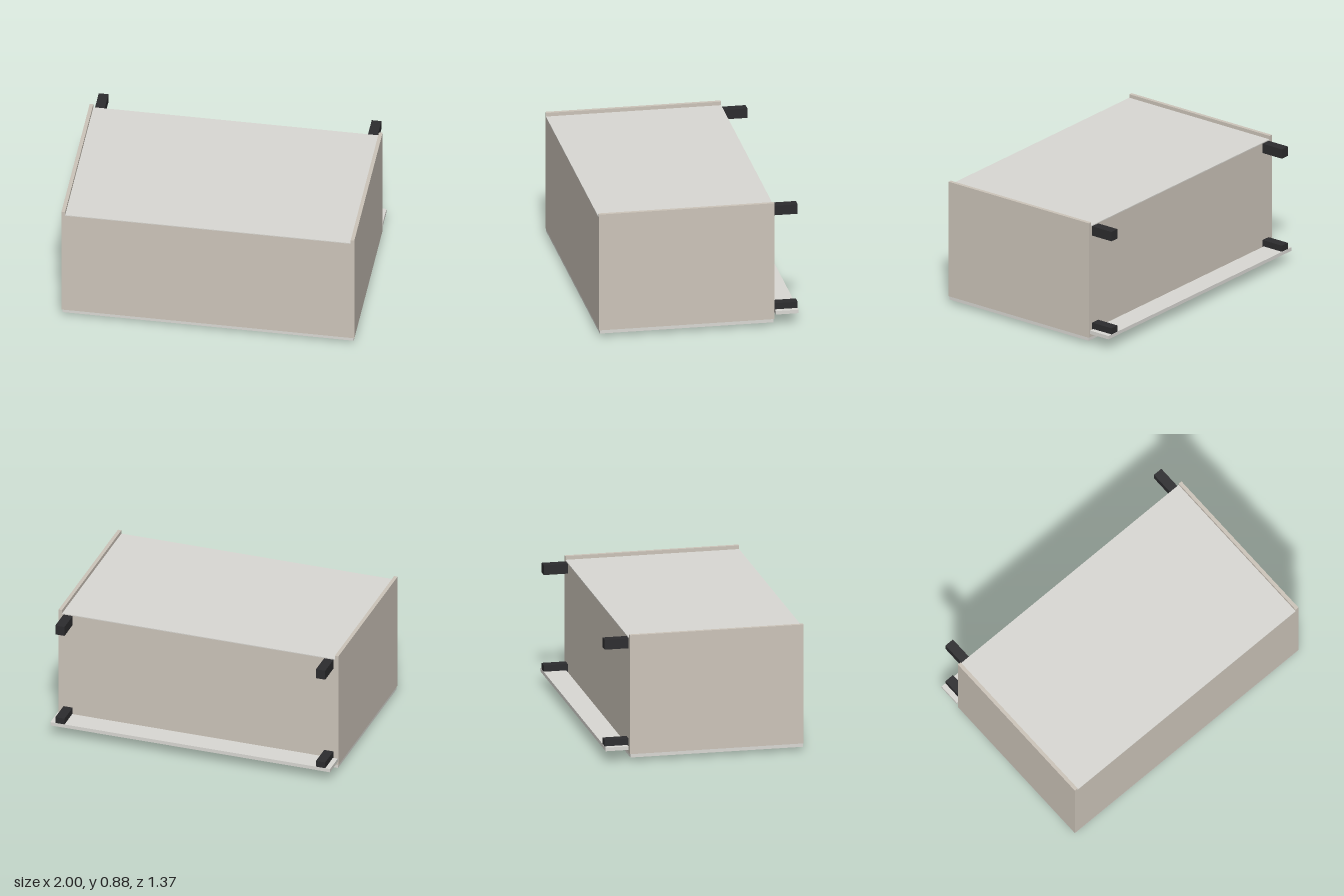
import * as THREE from 'three';

const material = (color) => new THREE.MeshStandardMaterial({ color });

export function createModel() {
  const model = new THREE.Group();
  const carcass = material(0xcdc5ba);
  const finish = material(0xdad9d4);
  const black = material(0x2c2c2e);
  const metal = material(0x85888c);

  // Box given by its min and max on each axis
  const addBox = (name, mat, [x0, x1], [y0, y1], [z0, z1]) => {
    const mesh = new THREE.Mesh(new THREE.BoxGeometry(x1 - x0, y1 - y0, z1 - z0), mat);
    mesh.position.set((x0 + x1) / 2, (y0 + y1) / 2, (z0 + z1) / 2);
    mesh.name = name;
    model.add(mesh);
  };

  // Carcass, lying on its door: two sides, and the end panels between them
  addBox('leftSide', carcass, [0.975, 1], [0.048, 0.882], [-0.517, 0.684]);
  addBox('rightSide', carcass, [-1, -0.975], [0.048, 0.882], [-0.517, 0.684]);
  addBox('cabinetTop', carcass, [-0.975, 0.975], [0.048, 0.851], [0.659, 0.684]);
  addBox('cabinetBottom', carcass, [-0.975, 0.975], [0.048, 0.851], [-0.517, -0.492]);
  addBox('backPanel', finish, [-0.975, 0.975], [0.851, 0.857], [-0.517, 0.684]);

  // Door under the carcass, with its handle
  addBox('door', finish, [-0.995, 0.995], [0.023, 0.048], [-0.511, 0.679]);
  addBox('handle', metal, [-0.08, 0.08], [0, 0.023], [0.546, 0.564]);

  // Feet at the four corners of the cabinet bottom
  for (const side of [-1, 1]) {
    for (const y of [0.083, 0.782]) {
      const x = side * 0.932;
      addBox('foot', black, [x - 0.033, x + 0.033], [y, y === 0.083 ? 0.148 : 0.85], [-0.683, -0.517]);
    }
  }

  // Plinth board across the door-side feet
  addBox('plinth', finish, [-1, 1], [0.079, 0.104], [-0.684, -0.527]);

  return model;
}
